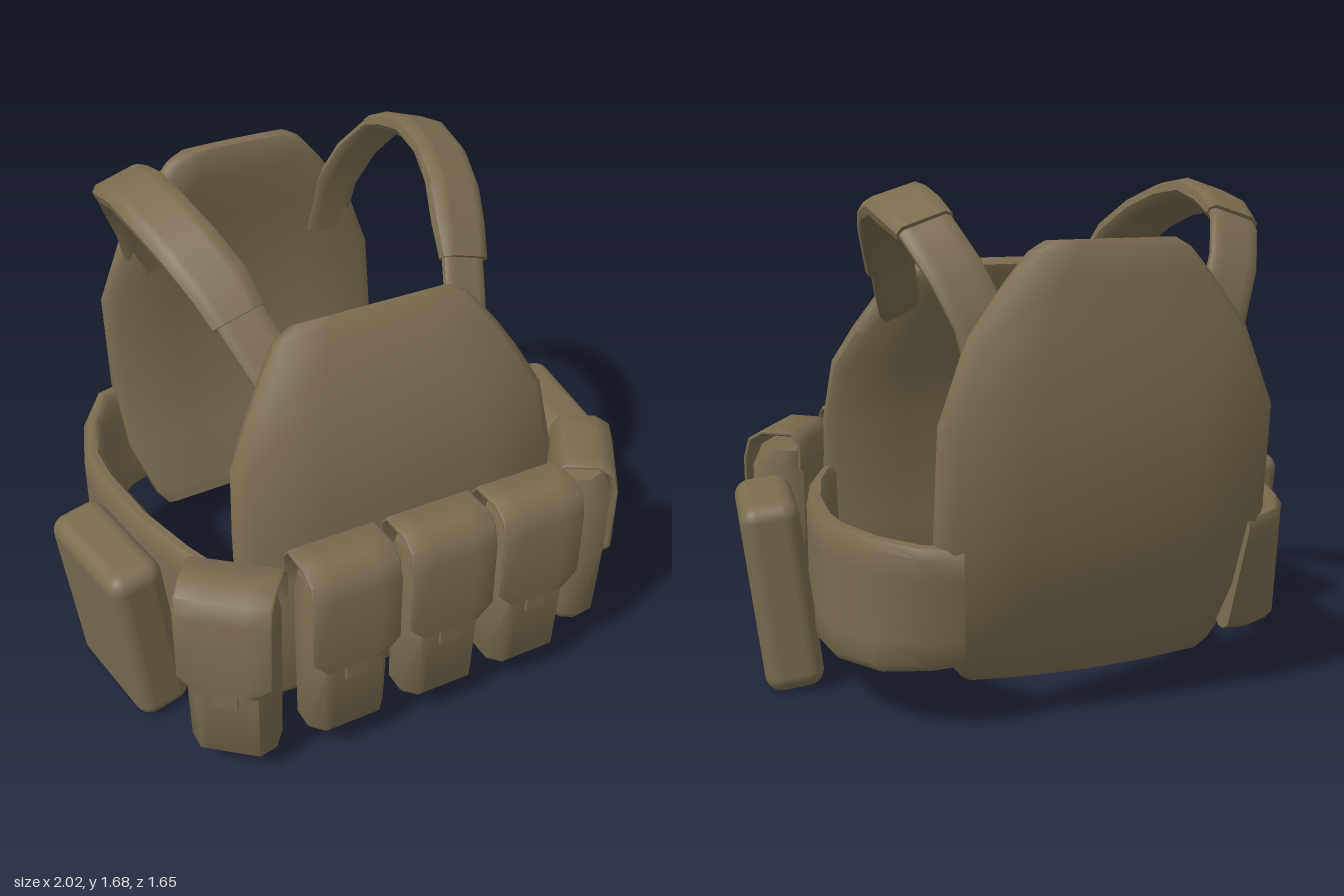
import * as THREE from 'three';
import { toCreasedNormals } from 'three/addons/utils/BufferGeometryUtils.js';
import { RoundedBoxGeometry } from 'three/addons/geometries/RoundedBoxGeometry.js';

const fabric = new THREE.MeshStandardMaterial({ color: 0x7a6c50 });
fabric.name = 'tan fabric';

// Soft slab swept through stations [x, y, z, halfWidth, halfThickness, side?].
// bend pushes the long edges along the slab normal.
function slab(stations, side, bend = 0, crease = 0.9) {
  const centres = stations.map((s) => new THREE.Vector3(s[0], s[1], s[2]));
  const pos = [], index = [], count = 14;
  stations.forEach((s, i) => {
    const [w, t] = [s[3], s[4]];
    const T = centres[Math.min(i + 1, centres.length - 1)].clone()
      .sub(centres[Math.max(i - 1, 0)]).normalize();
    const S = new THREE.Vector3(...(s[5] || side));
    S.addScaledVector(T, -S.dot(T)).normalize();
    const N = new THREE.Vector3().crossVectors(T, S);
    const e = Math.min(t * 0.8, w * 0.3);
    const us = [w, w - e, w / 2, 0, -w / 2, e - w, -w];
    const put = (u, h) => {
      const p = centres[i].clone().addScaledVector(S, u).addScaledVector(N, h + bend * (u / 0.55) ** 2);
      pos.push(p.x, p.y, p.z);
    };
    us.forEach((u, k) => put(u, k % 6 ? t : t * 0.4));
    us.slice().reverse().forEach((u, k) => put(u, k % 6 ? -t : -t * 0.4));
  });
  for (let i = 0; i < stations.length - 1; i++) {
    for (let j = 0; j < count; j++) {
      const a = i * count + j, b = i * count + (j + 1) % count;
      index.push(a, b, b + count, a, b + count, a + count);
    }
  }
  // End caps, stitched across the thickness
  const last = (stations.length - 1) * count;
  for (let k = 0; k < 6; k++) {
    const [a, b, c, d] = [k, k + 1, 12 - k, 13 - k];
    index.push(a, c, b, a, d, c);
    index.push(last + a, last + b, last + c, last + a, last + c, last + d);
  }
  const g = new THREE.BufferGeometry();
  g.setAttribute('position', new THREE.Float32BufferAttribute(pos, 3));
  g.setIndex(index);
  return toCreasedNormals(g, crease);
}

function add(parent, name, geometry) {
  const mesh = new THREE.Mesh(geometry, fabric);
  mesh.name = name;
  parent.add(mesh);
  return mesh;
}

// Mirror stations to either side of the body
const flip = (list, m) => list.map(([x, y, z, w, t, s]) =>
  [x * m, y, z, w, t, s && [s[0] * m, s[1], s[2]]]);

// Magazine pouch: tapered body, folded lid with clipped corners, pull tab
function magazinePouch(x, y, z, yaw) {
  const pouch = new THREE.Group();
  pouch.name = 'magazinePouch';
  add(pouch, 'pouchBody', slab([
    [0, 0.095, -0.005, 0.125, 0.065], [0, 0.125, -0.005, 0.143, 0.088],
    [0, 0.4, 0, 0.148, 0.096], [0, 0.66, 0, 0.15, 0.096], [0, 0.73, -0.01, 0.138, 0.075],
  ], [1, 0, 0]));
  add(pouch, 'pouchLid', slab([
    [0, 0.66, -0.1, 0.153, 0.008], [0, 0.755, -0.1, 0.155, 0.008],
    [0, 0.79, -0.07, 0.155, 0.008], [0, 0.793, 0.04, 0.155, 0.008],
    [0, 0.765, 0.088, 0.155, 0.008], [0, 0.7, 0.106, 0.155, 0.008],
    [0, 0.46, 0.106, 0.155, 0.008], [0, 0.405, 0.102, 0.105, 0.008],
  ], [1, 0, 0]));
  add(pouch, 'pullTab', new THREE.BoxGeometry(0.075, 0.08, 0.012)).position.set(0, 0.385, 0.099);
  pouch.position.set(x, y, z);
  pouch.rotation.y = yaw;
  return pouch;
}

export function createModel() {
  const vest = new THREE.Group();
  vest.name = 'plateCarrierVest';

  // Front and back panels
  add(vest, 'frontPanel', slab([
    [0, 0.1, 0.53, 0.5, 0.03], [0, 0.14, 0.54, 0.55, 0.048], [0, 0.4, 0.55, 0.585, 0.05],
    [0, 0.8, 0.535, 0.585, 0.05], [0, 1.02, 0.48, 0.56, 0.052], [0, 1.15, 0.425, 0.49, 0.05],
    [0, 1.25, 0.38, 0.425, 0.045], [0, 1.35, 0.325, 0.345, 0.034], [0, 1.378, 0.305, 0.28, 0.02],
  ], [1, 0, 0], 0.025));
  add(vest, 'backPanel', slab([
    [0, 0.15, -0.55, 0.42, 0.03], [0, 0.2, -0.575, 0.46, 0.045], [0, 0.4, -0.665, 0.53, 0.05],
    [0, 0.65, -0.73, 0.55, 0.052], [0, 1.0, -0.768, 0.545, 0.052], [0, 1.26, -0.742, 0.45, 0.048],
    [0, 1.42, -0.725, 0.33, 0.042], [0, 1.5, -0.718, 0.26, 0.036], [0, 1.53, -0.715, 0.21, 0.02],
  ], [1, 0, 0], -0.045));

  for (const m of [1, -1]) {
    // Waist band wrapping from the front panel to the back panel
    add(vest, 'sideBand', slab(flip([
      [0.52, 0.4, 0.54, 0.215, 0.025], [0.6, 0.41, 0.46, 0.215, 0.025],
      [0.67, 0.415, 0.28, 0.215, 0.03], [0.73, 0.415, 0.05, 0.215, 0.034],
      [0.76, 0.415, -0.2, 0.22, 0.036], [0.755, 0.42, -0.34, 0.22, 0.036],
      [0.68, 0.425, -0.53, 0.215, 0.034, [0, 1, -0.1]], [0.57, 0.435, -0.65, 0.21, 0.032, [0, 1, -0.25]],
      [0.46, 0.435, -0.685, 0.2, 0.028, [0, 1, -0.25]],
    ], m), [0, 1, 0]));

    // Shoulder webbing, showing at both ends of the pad
    const lean = [0.94 * m, -0.3, 0];
    add(vest, 'frontStrap', slab(flip([
      [0.33, 1.2, 0.36, 0.08, 0.018], [0.37, 1.3, 0.28, 0.08, 0.018],
      [0.41, 1.4, 0.19, 0.08, 0.018], [0.46, 1.5, 0.09, 0.08, 0.018],
    ], m), lean));
    add(vest, 'backStrap', slab(flip([
      [0.53, 1.62, -0.42, 0.085, 0.018], [0.51, 1.55, -0.54, 0.085, 0.018],
      [0.46, 1.44, -0.63, 0.085, 0.018], [0.4, 1.3, -0.68, 0.085, 0.018],
      [0.36, 1.1, -0.7, 0.08, 0.016],
    ], m), lean));
    add(vest, 'shoulderPad', slab(flip([
      [0.41, 1.385, 0.2, 0.09, 0.034], [0.435, 1.47, 0.12, 0.1, 0.038],
      [0.48, 1.555, 0, 0.1, 0.038], [0.515, 1.61, -0.14, 0.1, 0.036],
      [0.53, 1.632, -0.29, 0.1, 0.036], [0.53, 1.605, -0.42, 0.1, 0.034],
      [0.515, 1.565, -0.52, 0.092, 0.026],
    ], m), lean));

    // Large utility pouch on the hip
    const hip = add(vest, 'hipPouch', new RoundedBoxGeometry(0.195, 0.645, 0.46, 4, 0.055));
    hip.position.set(0.86 * m, 0.335, m > 0 ? 0.095 : 0.145);
    hip.rotation.set(0, -0.14 * m, -0.12 * m);
  }

  // Row of three front pouches and one angled pouch at each corner
  for (const x of [-0.31, 0.04, 0.38]) vest.add(magazinePouch(x, 0, 0.705, 0));
  vest.add(magazinePouch(-0.665, -0.018, 0.645, -0.69));
  vest.add(magazinePouch(0.71, -0.018, 0.565, 0.99));

  return vest;
}
